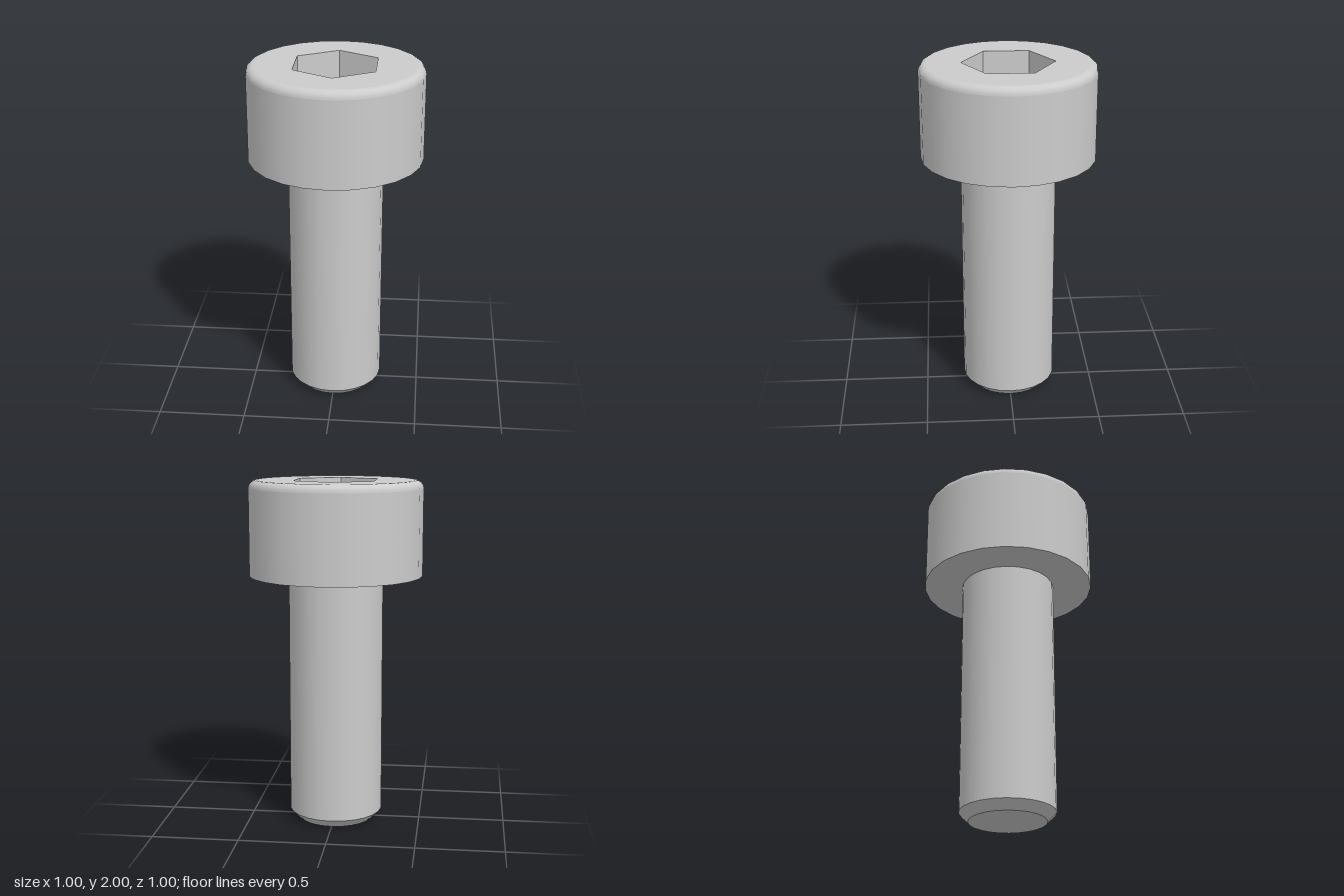
import * as THREE from 'three';

const SEG = 24;
const HEAD_R = 0.5, HEAD_Y = 1.455, TOP = 2, FILLET = 0.045;
const SHAFT_R = 0.2727, CHAMFER = 0.052;
const HEX_R = 0.2624, SOCKET_Y = TOP - 0.236, SLOPE = Math.tan(Math.PI / 6);

// distance from the axis to the hexagon side, corners on the z axis
function hexRadius(angle) {
  const step = Math.PI / 3;
  const a = ((angle % step) + step) % step - step / 2;
  return HEX_R * Math.cos(step / 2) / Math.cos(a);
}

// height of the drilled cone at a given radius
const coneY = (r) => SOCKET_Y - (HEX_R - r) * SLOPE;

export function createModel() {
  const group = new THREE.Group();
  const steel = new THREE.MeshStandardMaterial({ color: 0xcccccc });
  steel.name = 'steel';

  const add = (name, geometry) => {
    const mesh = new THREE.Mesh(geometry, steel);
    mesh.name = name;
    group.add(mesh);
  };
  // each smooth band is its own lathe, so edges between bands stay sharp
  const band = (points) => new THREE.LatheGeometry(points.map(([r, y]) => new THREE.Vector2(r, y)), SEG);

  // shaft with chamfered tip
  add('shaftEnd', band([[0, 0], [SHAFT_R - CHAMFER, 0]]));
  add('shaftChamfer', band([[SHAFT_R - CHAMFER, 0], [SHAFT_R, CHAMFER]]));
  add('shaft', band([[SHAFT_R, CHAMFER], [SHAFT_R, HEAD_Y]]));

  // head with rounded upper rim
  add('headUnderside', band([[SHAFT_R, HEAD_Y], [HEAD_R, HEAD_Y]]));
  add('headSide', band([[HEAD_R, HEAD_Y], [HEAD_R, TOP - FILLET]]));
  const arc = [];
  for (let i = 0; i <= 6; i++) {
    const a = (i / 6) * Math.PI / 2;
    arc.push([HEAD_R - FILLET + FILLET * Math.cos(a), TOP - FILLET + FILLET * Math.sin(a)]);
  }
  add('headRim', band(arc));

  // flat top with hexagonal opening
  const ring = (count, r) => Array.from({ length: count }, (_, i) => {
    const a = (i / count) * Math.PI * 2;
    return new THREE.Vector2(r * Math.sin(a), r * Math.cos(a));
  });
  const face = new THREE.Shape(ring(SEG, HEAD_R - FILLET));
  face.holes.push(new THREE.Path(ring(6, HEX_R)));
  add('headTop', new THREE.ShapeGeometry(face).rotateX(-Math.PI / 2).translate(0, TOP, 0));

  // socket walls: an open tube pressed into a hexagon and turned inside out
  const tube = new THREE.CylinderGeometry(1, 1, 2, SEG, 1, true);
  const p = tube.attributes.position;
  for (let i = 0; i < p.count; i++) {
    const a = Math.atan2(p.getX(i), p.getZ(i));
    const r = hexRadius(a);
    p.setXYZ(i, r * Math.sin(a), p.getY(i) > 0 ? TOP : coneY(r), r * Math.cos(a));
  }
  tube.index.array.reverse();
  const walls = tube.toNonIndexed();
  walls.computeVertexNormals();
  add('socketWalls', walls);

  // drilled cone at the socket bottom, trimmed to the hexagon
  const cone = band([[HEX_R, SOCKET_Y], [0, coneY(0)]]);
  const q = cone.attributes.position;
  for (let i = 0; i < q.count; i++) {
    if (Math.hypot(q.getX(i), q.getZ(i)) < 0.01) continue;
    const a = Math.atan2(q.getX(i), q.getZ(i));
    const r = hexRadius(a);
    q.setXYZ(i, r * Math.sin(a), coneY(r), r * Math.cos(a));
  }
  add('socketBottom', cone);

  return group;
}
